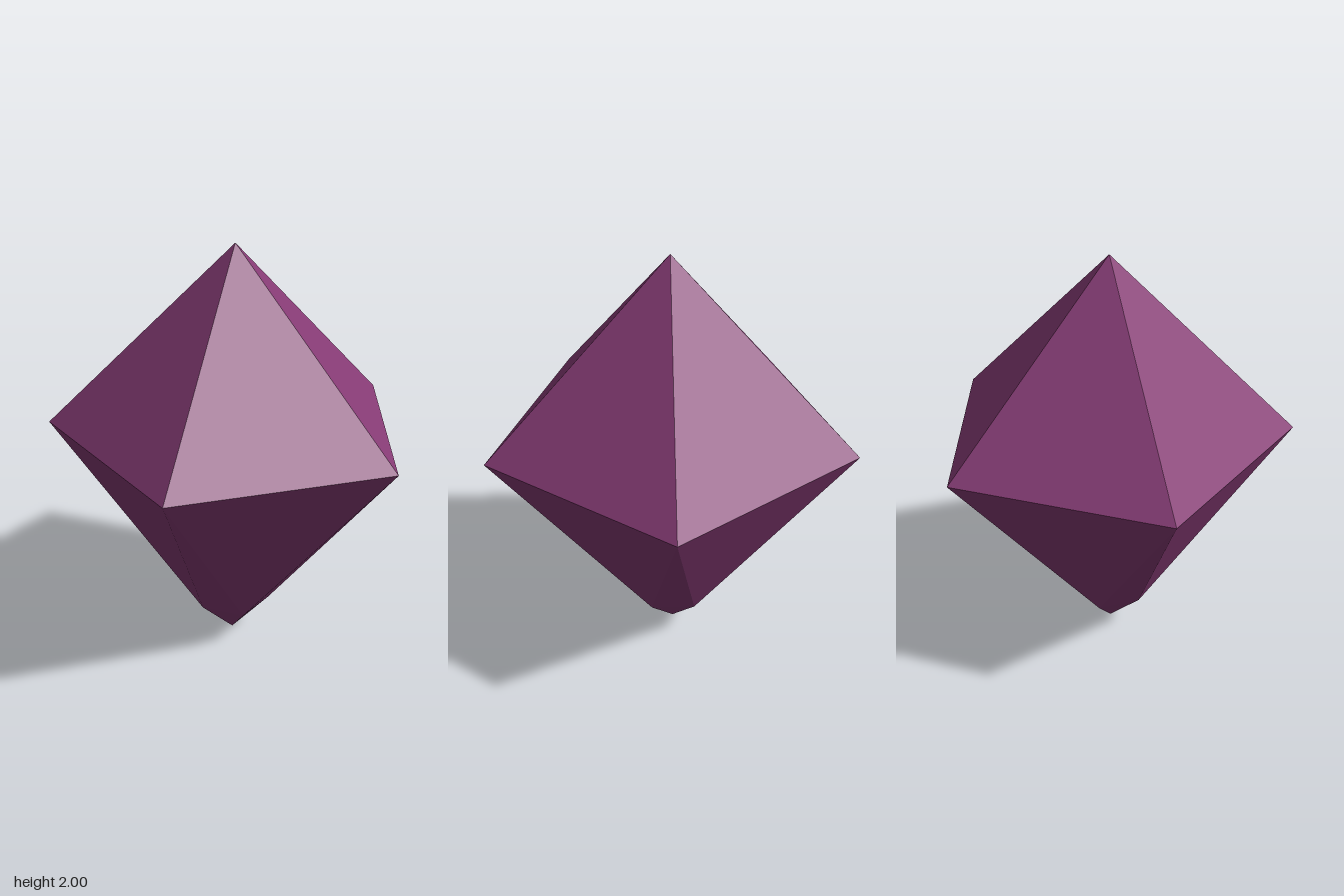
import * as THREE from 'three';

const SIDES = 5;
const CENTRE_X = 0.081;

// Ring of points around the gem's axis
function ring(radius, y, turn) {
  return Array.from({ length: SIDES }, (_, i) => {
    const a = ((i + turn) / SIDES) * Math.PI * 2;
    return new THREE.Vector3(CENTRE_X + radius * Math.cos(a), y, radius * Math.sin(a));
  });
}

// Unshared corners give each facet its own flat normal
function facets(name, points, material) {
  const geometry = new THREE.BufferGeometry().setFromPoints(points);
  geometry.computeVertexNormals();
  const mesh = new THREE.Mesh(geometry, material);
  mesh.name = name;
  return mesh;
}

export function createModel() {
  const group = new THREE.Group();
  group.name = 'gem';
  const purple = new THREE.MeshStandardMaterial({ color: 0x863b75, flatShading: true });
  purple.name = 'purple crystal';

  const apex = new THREE.Vector3(CENTRE_X, 2, 0);
  const base = new THREE.Vector3(CENTRE_X, 0, 0);
  const girdle = ring(0.871, 1.14, 0.5);
  const collar = ring(0.18, 0.18, 0); // half a step round from the girdle

  const crown = [], pavilion = [], tip = [];
  for (let i = 0; i < SIDES; i++) {
    const next = (i + 1) % SIDES;
    const prev = (i + SIDES - 1) % SIDES;
    crown.push(apex, girdle[next], girdle[i]);
    // Broad facet hanging from the girdle, then the sliver between two of them
    pavilion.push(girdle[prev], girdle[i], collar[i]);
    pavilion.push(girdle[i], collar[next], collar[i]);
    tip.push(collar[i], collar[next], base);
  }

  group.add(
    facets('crown', crown, purple),
    facets('pavilion', pavilion, purple),
    facets('tip', tip, purple)
  );
  return group;
}
